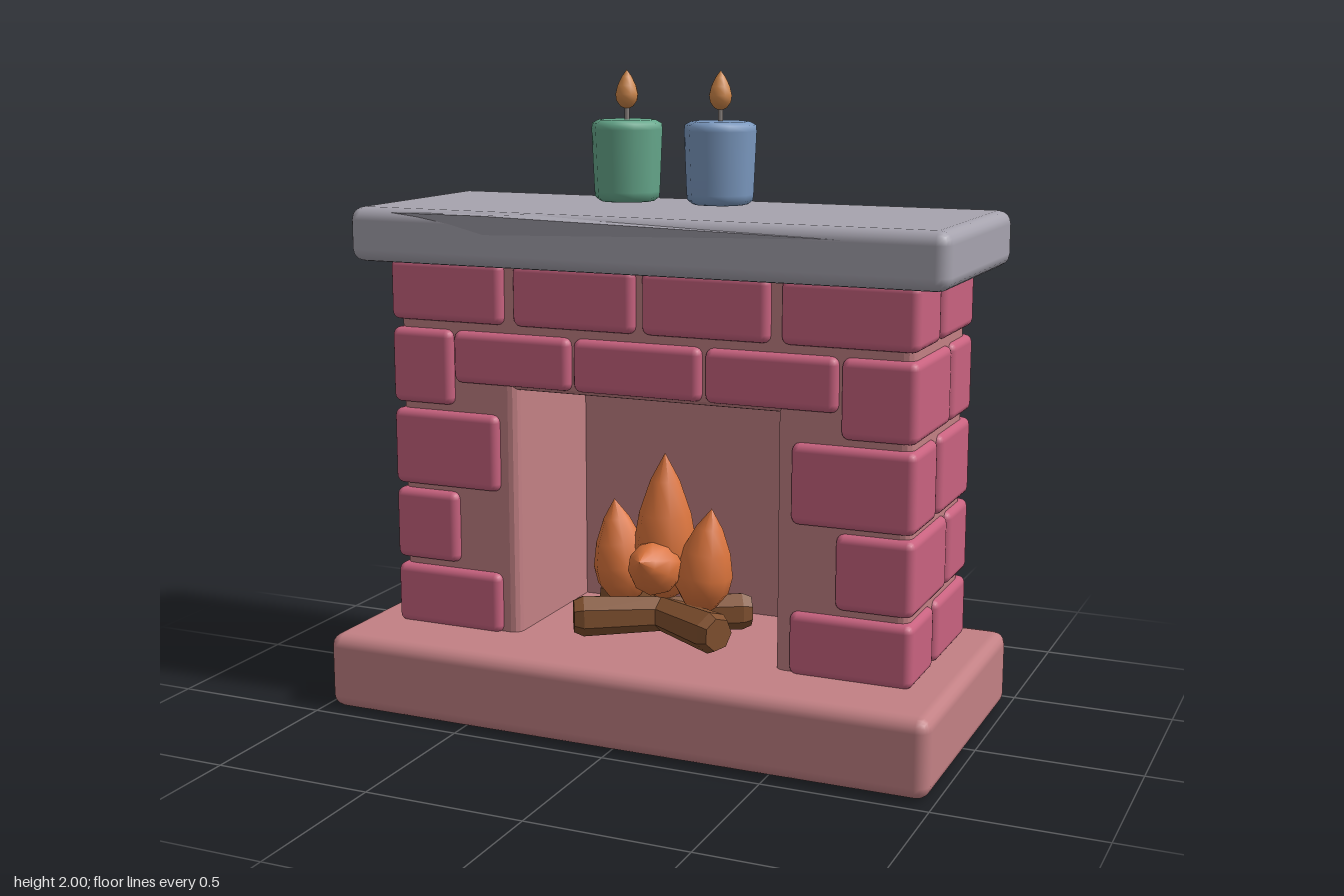
import * as THREE from 'three';
import { RoundedBoxGeometry } from 'three/addons/geometries/RoundedBoxGeometry.js';

const mat = (name, color, extra = {}) => {
  const m = new THREE.MeshStandardMaterial({ color, ...extra });
  m.name = name;
  return m;
};

export function createModel() {
  const group = new THREE.Group();
  const stone = mat('rose stone', 0xc28084);
  const brickMat = mat('raspberry brick', 0xc8627f);
  const slab = mat('grey slab', 0xa6a3ae, { side: THREE.DoubleSide });
  const wood = mat('log brown', 0x80502f);
  const fire = mat('fire orange', 0xdb743c);
  const candleFire = mat('candle flame', 0xcb8448);
  const green = mat('green wax', 0x66a88c);
  const blue = mat('blue wax', 0x7b99c0);
  const wickMat = mat('wick grey', 0x8c8480);

  const add = (name, geometry, material, parent = group) => {
    const mesh = new THREE.Mesh(geometry, material);
    mesh.name = name;
    parent.add(mesh);
    return mesh;
  };
  // Rounded block given by its limits on each axis
  const block = (name, material, [x0, x1], [y0, y1], [z0, z1], r, parent) => {
    const g = new RoundedBoxGeometry(x1 - x0, y1 - y0, z1 - z0, 2, r);
    g.translate((x0 + x1) / 2, (y0 + y1) / 2, (z0 + z1) / 2);
    return add(name, g, material, parent);
  };
  const lathe = (points, sides) =>
    new THREE.LatheGeometry(points.map(([x, y]) => new THREE.Vector2(x, y)), sides);

  // Hearth base and mantel
  block('base', stone, [-0.98, 0.98], [0, 0.24], [-0.455, 0.455], 0.04);
  block('mantel', slab, [-0.96, 0.96], [1.41, 1.58], [-0.435, 0.3], 0.04);

  // Thin bent lip along the mantel's front edge
  const lip = new THREE.BufferGeometry();
  lip.setAttribute('position', new THREE.Float32BufferAttribute([
    -0.93, 1.565, 0.275, -0.48, 1.572, 0.327, 0.65, 1.545, 0.299, -0.48, 1.51, 0.299, -0.3, 1.579, 0.26], 3));
  lip.setIndex([0, 3, 1, 1, 3, 2, 0, 1, 4, 1, 2, 4]);
  const lipFlat = lip.toNonIndexed();
  lipFlat.computeVertexNormals();
  add('mantelLip', lipFlat, slab);

  // Mortar body: an arch with a softly rounded opening, closed by a back wall
  const b = 0.03;
  const arch = new THREE.Shape();
  [[-0.81, 0.2], [-0.46, 0.2], [-0.46, 1.05], [0.46, 1.05], [0.46, 0.2], [0.81, 0.2], [0.81, 1.42], [-0.81, 1.42]]
    .forEach(([x, y], i) => (i ? arch.lineTo(x, y) : arch.moveTo(x, y)));
  arch.closePath();
  const body = new THREE.ExtrudeGeometry(arch, {
    depth: 0.49, bevelEnabled: true, bevelSize: b, bevelThickness: b, bevelSegments: 3 });
  body.translate(0, 0, -0.32);
  add('mortarBody', body, stone);
  const back = new THREE.BoxGeometry(1.2, 1.0, 0.06);
  back.translate(0, 0.7, -0.32);
  add('backWall', back, stone);

  // Corner bricks: [bottom, top, inner x on the right side, inner x on the left, front brick end z, rear brick start z]
  const bricks = new THREE.Group();
  bricks.name = 'bricks';
  group.add(bricks);
  const R = 0.025;
  const rows = [
    [0.235, 0.43, 0.48, 0.485, -0.02, -0.05],
    [0.45, 0.68, 0.62, 0.635, -0.145, -0.16],
    [0.695, 0.94, 0.48, 0.487, -0.015, -0.05],
    [0.96, 1.2, 0.63, 0.645, -0.145, -0.16],
    [1.225, 1.42, 0.445, 0.465, -0.015, -0.05],
  ];
  for (const [y0, y1, xr, xl, zf, zb] of rows) {
    for (const x of [[xr, 0.86], [-0.86, -xl]]) {
      block('frontCornerBrick', brickMat, x, [y0, y1], [zf, 0.225], R, bricks);
      block('rearCornerBrick', brickMat, x, [y0, y1], [-0.38, zb], R, bricks);
    }
  }
  // Lintel bricks over the opening and the course above
  for (const x of [[-0.64, -0.235], [-0.225, 0.195], [0.207, 0.62]])
    block('lintelBrick', brickMat, x, [1.035, 1.2], [-0.38, 0.225], R, bricks);
  for (const x of [[-0.43, -0.02], [0.003, 0.41]])
    block('upperBrick', brickMat, x, [1.225, 1.42], [-0.36, 0.225], R, bricks);

  // Crossed logs with chamfered ends
  for (const s of [-1, 1]) {
    let g = lathe([[0, -0.28], [0.052, -0.28], [0.066, -0.25], [0.056, 0], [0.06, 0.25], [0.048, 0.28], [0, 0.28]], 7);
    g = g.toNonIndexed();
    g.computeVertexNormals();
    const log = add('log', g, wood);
    log.position.set(0, 0.318, 0.05);
    log.quaternion.setFromUnitVectors(new THREE.Vector3(0, 1, 0),
      new THREE.Vector3(-s * 0.25, 0, -0.14).normalize());
  }

  // Fire: teardrops leaning outward
  const teardrop = (r, h, sides) => lathe([[0, 0], [0.55, 0.07], [0.92, 0.22], [1, 0.38], [0.82, 0.6], [0.46, 0.82], [0, 1]]
    .map(([x, y]) => [x * r, y * h]), sides);
  const flame = (r, h, pos, rx, rz) => {
    const m = add('flame', teardrop(r, h, 10), fire);
    m.position.set(...pos);
    m.rotation.set(rx, 0, rz);
  };
  flame(0.1, 0.48, [0, 0.35, 0.03], 0, 0);
  flame(0.09, 0.34, [-0.125, 0.335, 0.05], 0, 0.12);
  flame(0.09, 0.34, [0.125, 0.335, 0.05], 0, -0.12);
  flame(0.088, 0.2, [0, 0.455, 0.04], 1.2, 0);

  // Candles
  for (const [name, x, wax] of [['greenCandle', -0.163, green], ['blueCandle', 0.147, blue]]) {
    const candle = new THREE.Group();
    candle.name = name;
    candle.position.set(x, 1.6, -0.05);
    group.add(candle);
    add('wax', lathe([[0, 0], [0.085, 0], [0.1, 0.012], [0.102, 0.03], [0.11, 0.22], [0.108, 0.238],
      [0.09, 0.248], [0.085, 0.249], [0, 0.249]], 10), wax, candle);
    const wick = add('wick', new THREE.CylinderGeometry(0.008, 0.008, 0.07, 6), wickMat, candle);
    wick.position.y = 0.27;
    add('candleFlame', teardrop(0.037, 0.12, 8), candleFire, candle).position.y = 0.28;
  }
  return group;
}
